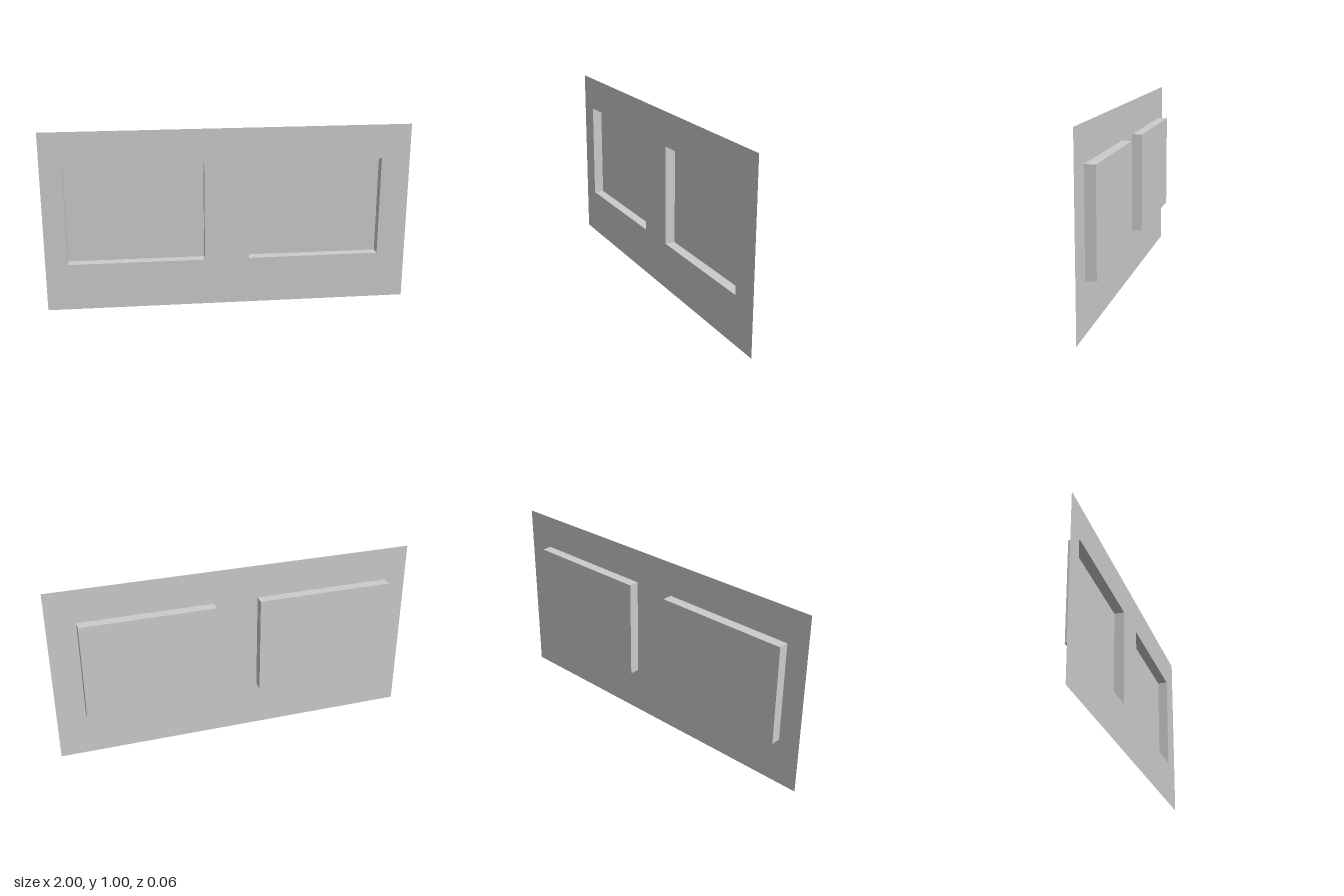
import * as THREE from 'three';

const FRONT = 0.028, BACK = -0.028, DEPTH = FRONT - BACK;
const BOTTOM = 0.262, TOP = 0.812;
const RECESSES = [
  { name: 'rightRecess', x0: -0.88, x1: -0.13 },
  { name: 'leftRecess', x0: 0.115, x1: 0.843 },
];

const material = new THREE.MeshStandardMaterial({ color: 0xcccccc, side: THREE.DoubleSide });

function rectangle(PathType, x0, y0, x1, y1) {
  return new PathType([[x0, y0], [x1, y0], [x1, y1], [x0, y1]].map(([x, y]) => new THREE.Vector2(x, y)));
}

function plane(name, w, h, position, rotation = [0, 0, 0]) {
  const mesh = new THREE.Mesh(new THREE.PlaneGeometry(w, h), material);
  mesh.name = name;
  mesh.position.set(...position);
  mesh.rotation.set(...rotation);
  return mesh;
}

// Open-fronted tray: a back panel and four thin walls facing inward
function createRecess({ name, x0, x1 }) {
  const tray = new THREE.Group();
  tray.name = name;
  const w = x1 - x0, h = TOP - BOTTOM, q = Math.PI / 2;
  const cx = (x0 + x1) / 2, cy = (TOP + BOTTOM) / 2, cz = (FRONT + BACK) / 2;
  tray.add(
    plane('backPanel', w, h, [cx, cy, BACK]),
    plane('bottomWall', w, DEPTH, [cx, BOTTOM, cz], [-q, 0, 0]),
    plane('topWall', w, DEPTH, [cx, TOP, cz], [q, 0, 0]),
    plane('rightWall', DEPTH, h, [x0, cy, cz], [0, q, 0]),
    plane('leftWall', DEPTH, h, [x1, cy, cz], [0, -q, 0]),
  );
  return tray;
}

export function createModel() {
  const model = new THREE.Group();
  model.name = 'recessedWallPanel';

  // Thin front sheet with two rectangular openings
  const sheet = rectangle(THREE.Shape, -1, 0, 1, 1);
  for (const { x0, x1 } of RECESSES) sheet.holes.push(rectangle(THREE.Path, x0, BOTTOM, x1, TOP));
  const frontSheet = new THREE.Mesh(new THREE.ShapeGeometry(sheet), material);
  frontSheet.name = 'frontSheet';
  frontSheet.position.z = FRONT;
  model.add(frontSheet);

  // Trays behind the openings
  for (const recess of RECESSES) model.add(createRecess(recess));
  return model;
}
